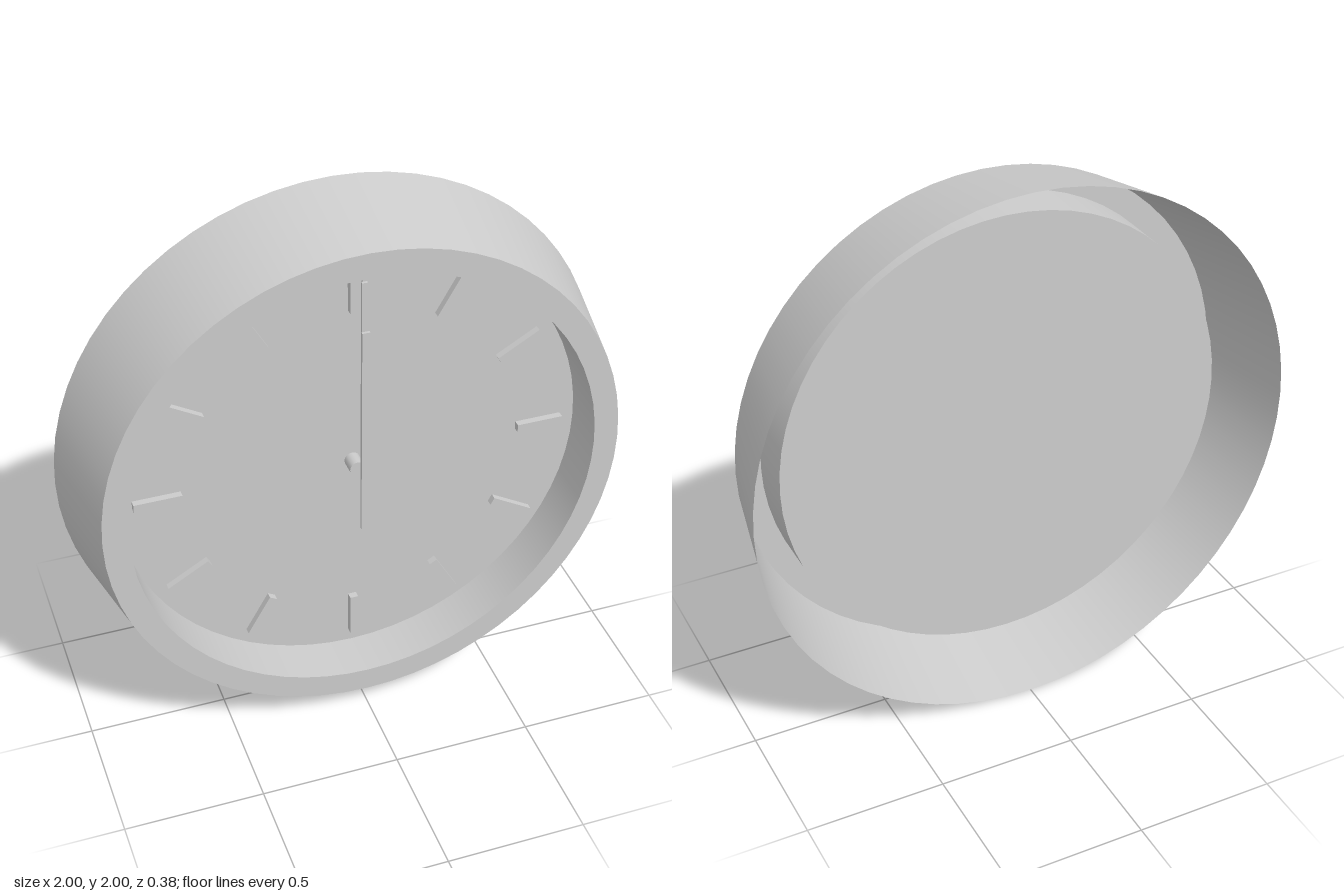
import * as THREE from 'three';

const SEGMENTS = 64;
const FACE_Z = 0.01;

export function createModel() {
  const clock = new THREE.Group();
  clock.name = 'wallClock';
  const solid = new THREE.MeshStandardMaterial({ color: 0xcccccc });
  const thin = new THREE.MeshStandardMaterial({ color: 0xcccccc, side: THREE.DoubleSide });

  // Everything is built around the dial centre, then lifted onto the ground
  const body = new THREE.Group();
  body.name = 'clockBody';
  body.position.y = 1;
  clock.add(body);

  const add = (name, geometry, material, parent = body) => {
    const mesh = new THREE.Mesh(geometry, material);
    mesh.name = name;
    parent.add(mesh);
    return mesh;
  };

  // Thin band turned around the z axis, from (radius, z) to (radius, z)
  const band = (name, r0, z0, r1, z1) => {
    const profile = [new THREE.Vector2(r0, z0), new THREE.Vector2(r1, z1)];
    add(name, new THREE.LatheGeometry(profile, SEGMENTS).rotateX(Math.PI / 2), thin);
  };

  // Open-backed case: flared outer wall, flat front rim, straight inner wall
  band('outerWall', 1, -0.19, 0.925, 0.19);
  band('frontRim', 0.925, 0.19, 0.835, 0.19);
  band('innerWall', 0.835, 0.19, 0.835, FACE_Z);

  // Dial
  add('dial', new THREE.CircleGeometry(0.835, SEGMENTS), thin).position.z = FACE_Z;

  // Twelve hour markers
  const markers = new THREE.Group();
  markers.name = 'hourMarkers';
  body.add(markers);
  const markerGeometry = new THREE.BoxGeometry(0.03, 0.17, 0.025);
  markerGeometry.translate(0, 0.697, FACE_Z + 0.0125);
  for (let i = 0; i < 12; i++) {
    add('hourMarker', markerGeometry, solid, markers).rotation.z = (-i * Math.PI) / 6;
  }

  // Centre pin
  const pin = new THREE.CylinderGeometry(0.028, 0.028, 0.06, 16).rotateX(Math.PI / 2);
  add('centrePin', pin, solid).position.z = FACE_Z + 0.03;

  // Hands, all pointing to twelve: name, width, tail, tip, z
  const hands = [
    ['secondHand', 0.006, -0.23, 0.805, 0.115],
    ['minuteHand', 0.02, -0.135, 0.785, 0.13],
    ['hourHand', 0.028, -0.135, 0.605, 0.145],
  ];
  for (const [name, width, tail, tip, z] of hands) {
    const hand = add(name, new THREE.BoxGeometry(width, tip - tail, 0.01), solid);
    hand.position.set(0, (tip + tail) / 2, z);
  }

  return clock;
}
